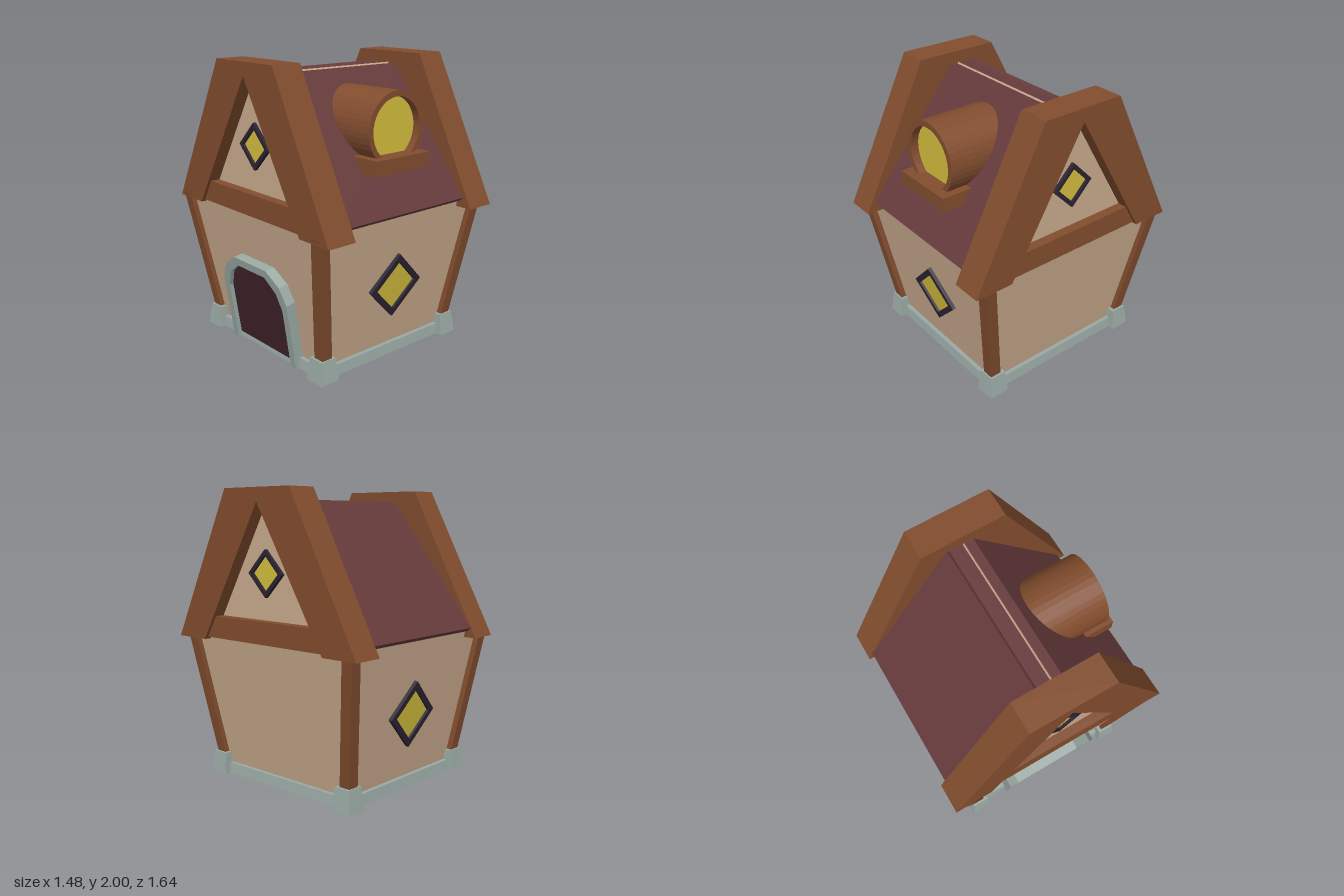
import * as THREE from 'three';

const mat = (name, color, flat = true) => {
  const m = new THREE.MeshStandardMaterial({ color, flatShading: flat });
  m.name = name;
  return m;
};

export function createModel() {
  const plaster = mat('plaster', 0xcaab8e);
  const timber = mat('timber', 0x824d2e);
  const tiles = mat('roofRed', 0x673b3c);
  const stone = mat('stone', 0x9aa9a3);
  const glass = mat('glassYellow', 0xd4be3e);
  const frameDark = mat('windowFrame', 0x2b2331);
  const doorWood = mat('doorWood', 0x40232a);

  const house = new THREE.Group();
  house.name = 'house';
  const add = (parent, name, geo, material, x = 0, y = 0, z = 0) => {
    const m = new THREE.Mesh(geo, material);
    m.name = name;
    m.position.set(x, y, z);
    parent.add(m);
    return m;
  };

  // Six-sided block between two rectangles [x0, x1, z0, z1] at heights y0 and y1
  const block = (bottom, top, y0, y1) => {
    const g = new THREE.BoxGeometry(1, 1, 1);
    const p = g.attributes.position;
    for (let i = 0; i < p.count; i++) {
      const r = p.getY(i) > 0 ? top : bottom;
      p.setXYZ(i, p.getX(i) > 0 ? r[1] : r[0], p.getY(i) > 0 ? y1 : y0, p.getZ(i) > 0 ? r[3] : r[2]);
    }
    g.computeVertexNormals();
    return g;
  };
  const shapeOf = (pts) => new THREE.Shape(pts.map(([a, b]) => new THREE.Vector2(a, b)));
  const extrude = (shape, depth) => new THREE.ExtrudeGeometry(shape, { depth, bevelEnabled: false, curveSegments: 20 });
  // Outline given as [z, y], extruded along x from x0 to x1
  const alongX = (pts, x0, x1) =>
    extrude(shapeOf(pts.map(([z, y]) => [-z, y])), x1 - x0).rotateY(Math.PI / 2).translate(x0, 0, 0);

  // Walls lean outward as they rise
  const lean = 0.152, tilt = Math.atan(lean);
  const wallX = (y) => 0.545 + lean * y, wallZ = (y) => 0.563 + lean * y;
  const body = new THREE.Group();
  body.name = 'body';
  body.position.set(-0.008, 0, -0.017);
  house.add(body);
  const rect = (y) => [-wallX(y), wallX(y), -wallZ(y), wallZ(y)];
  add(body, 'walls', block(rect(0.004), rect(1.03), 0.004, 1.03), plaster);

  // Corner posts and their stone feet
  const span = (s, outer, width) => (s > 0 ? [outer - width, outer] : [-outer, width - outer]);
  for (const sx of [-1, 1]) for (const sz of [-1, 1]) {
    const at = (y) => [...span(sx, 0.58 + lean * y, 0.08), ...span(sz, 0.603 + lean * y, 0.08)];
    add(body, 'cornerPost', block(at(0.05), at(1.02), 0.05, 1.02), timber);
    add(body, 'cornerFoot', block(
      [...span(sx, 0.64, 0.147), ...span(sz, 0.658, 0.147)],
      [...span(sx, 0.62, 0.118), ...span(sz, 0.636, 0.115)], 0, 0.152), stone);
  }

  // Stone sills between the feet
  for (const s of [-1, 1]) {
    add(body, 'sill', block([-0.53, 0.53, ...span(s, 0.615, 0.08)], [-0.53, 0.53, ...span(s, 0.605, 0.08)], 0.006, 0.078), stone);
    add(body, 'sill', block([...span(s, 0.595, 0.08), -0.55, 0.55], [...span(s, 0.585, 0.08), -0.55, 0.55], 0.006, 0.078), stone);
  }

  // Diamond windows: raised dark frame around a set-back pane
  const diamond = (r) => [[r, 0], [0, r], [-r, 0], [0, -r]];
  const addWindow = (parent, name, outer, inner, x, y, z, yaw, pitch) => {
    const g = new THREE.Group();
    g.name = name;
    g.position.set(x, y, z);
    g.rotation.set(pitch, yaw, 0, 'YXZ');
    const s = shapeOf(diamond(outer));
    s.holes.push(shapeOf(diamond(inner)));
    add(g, 'windowFrame', extrude(s, 0.03).translate(0, 0, -0.005), frameDark);
    add(g, 'windowPane', extrude(shapeOf(diamond(inner + 0.01)), 0.008), glass);
    parent.add(g);
  };
  addWindow(body, 'frontWindow', 0.232, 0.175, 0.008, 0.525, wallZ(0.525), 0, tilt);
  addWindow(body, 'backWindow', 0.232, 0.175, 0.008, 0.525, -wallZ(0.525), Math.PI, tilt);

  // Arched door in a stone surround on the right-hand end
  const door = new THREE.Group();
  door.name = 'door';
  door.position.set(-wallX(0), 0, 0.01);
  door.rotation.set(tilt, -Math.PI / 2, 0, 'YXZ');
  body.add(door);
  const arch = (w, h, base) => {
    const half = [[w, base], [w, h - 0.2], [w * 0.85, h - 0.085], [w * 0.5, h]];
    return [...half, ...half.slice().reverse().map(([a, b]) => [-a, b])];
  };
  const surround = shapeOf([[0.36, 0.014], ...arch(0.36, 0.685, 0.014).slice(1, -1), [-0.36, 0.014],
    ...arch(0.305, 0.63, 0.014).reverse()]);
  add(door, 'doorSurround', extrude(surround, 0.1).translate(0, 0, -0.03), stone);
  add(door, 'doorLeaf', extrude(shapeOf(arch(0.31, 0.635, 0.016)), 0.045).translate(0, 0, -0.005), doorWood);

  // Roof: two slabs standing slightly proud of a flat ridge
  add(house, 'roof', alongX([
    [0.755, 1.055], [0.075, 1.918], [0.064, 1.909], [-0.094, 1.909], [-0.111, 1.926],
    [-0.785, 1.055], [-0.757, 1.03], [0.727, 1.03]], -0.54, 0.54), tiles);

  // Gable ends: heavy flat-topped bargeboards, tie beam, wall and window
  const barge = [[0.82, 0.985], [0.31, 2], [-0.285, 2], [-0.82, 0.985], [-0.55, 0.985], [0.007, 1.91], [0.55, 0.985]];
  add(house, 'gableWall', alongX([[0.56, 1.0], [0.007, 1.92], [-0.56, 1.0]], -0.65, 0.65), plaster);
  for (const s of [-1, 1]) {
    const ends = (a, b) => (s > 0 ? [a, b] : [-b, -a]);
    add(house, 'bargeboard', alongX(barge, ...ends(0.527, 0.74)), timber);
    add(house, 'tieBeam', alongX([[0.56, 1.0], [0.5, 1.15], [-0.5, 1.15], [-0.56, 1.0]], ...ends(0.56, 0.717)), timber);
    addWindow(house, 'gableWindow', 0.156, 0.118, s * 0.65, 1.455, 0.007, s * Math.PI / 2, 0);
  }

  // Round dormer with a recessed pane and a sill
  const dormer = new THREE.Group();
  dormer.name = 'dormer';
  house.add(dormer);
  const ring = new THREE.Shape().absarc(0, 0, 0.246, 0, Math.PI * 2);
  ring.holes.push(new THREE.Path().absarc(0, 0, 0.208, 0, Math.PI * 2));
  add(dormer, 'dormerBarrel', extrude(ring, 0.575), timber, 0, 1.575, 0.05);
  add(dormer, 'dormerPane', new THREE.CylinderGeometry(0.215, 0.215, 0.5, 40).rotateX(Math.PI / 2), glass, 0, 1.575, 0.32);
  add(dormer, 'dormerSill', new THREE.BoxGeometry(0.478, 0.1, 0.25), timber, 0, 1.36, 0.567);

  return house;
}
